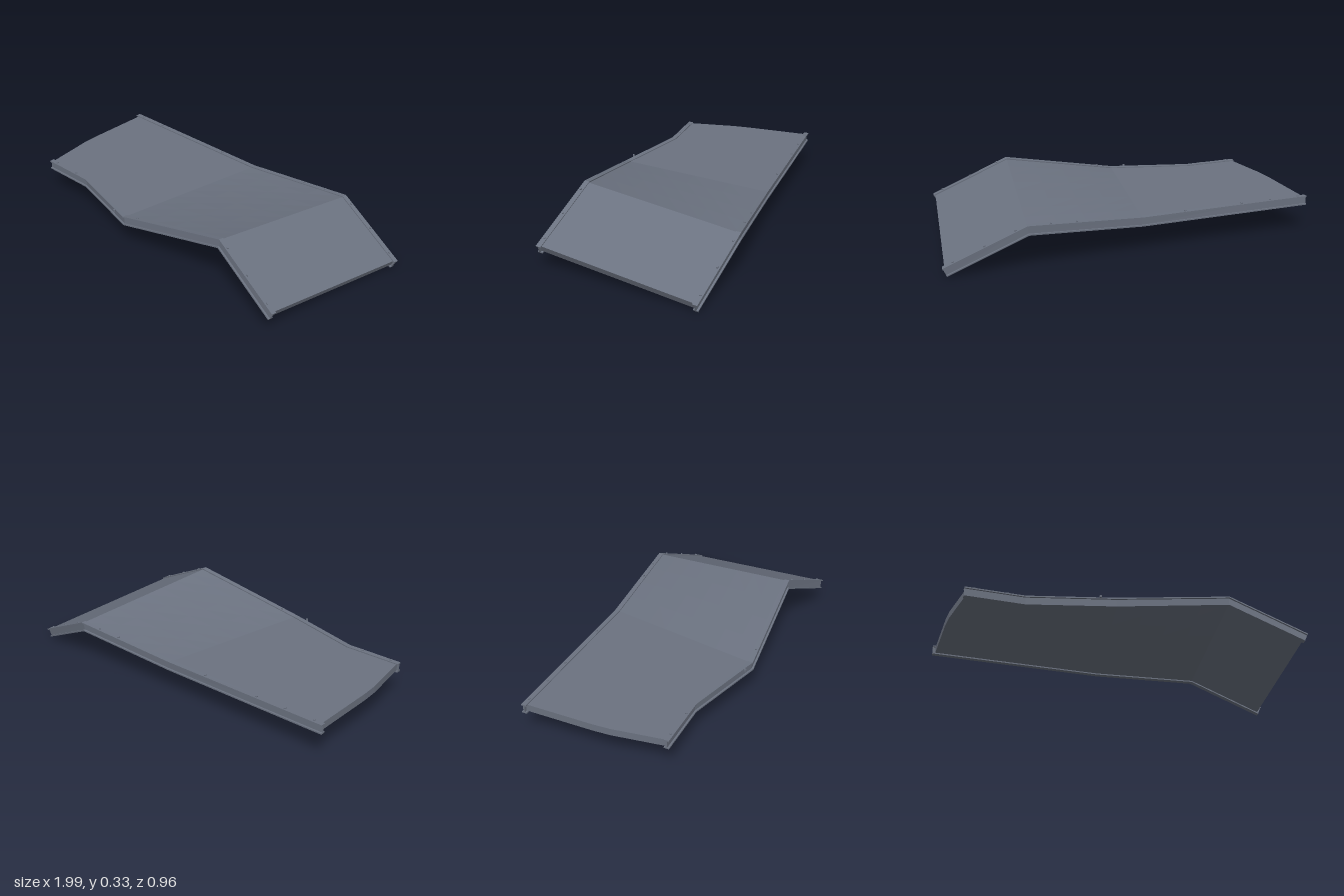
import * as THREE from 'three';

const V = (x, y, z) => new THREE.Vector3(x, y, z);

// Top centre line of each rail, front (+z) and back (-z)
const FRONT = [V(-0.95, 0.197, 0.308), V(-0.64, 0.197, 0.308), V(-0.2, 0.197, 0.428), V(0.45, 0.333, 0.385), V(0.86, 0.138, 0.465)];
const BACK = [V(-1, 0.197, -0.438), V(-0.64, 0.197, -0.438), V(-0.04, 0.197, -0.438), V(0.58, 0.243, -0.47), V(0.988, 0.048, -0.388)];
const HEIGHT = 0.05, WIDTH = 0.027, FLANGE = 0.007, WEB = 0.008;

// Frames along a rail: up follows the deck surface, joints are mitred
function frames(path) {
  const dirs = [], ups = [];
  for (let i = 0; i < path.length - 1; i++) {
    const d = path[i + 1].clone().sub(path[i]).normalize();
    const across = BACK[i].clone().sub(FRONT[i]).add(BACK[i + 1]).sub(FRONT[i + 1]);
    dirs.push(d);
    ups.push(d.clone().cross(across).normalize());
  }
  return path.map((p, i) => {
    const a = Math.max(i - 1, 0), b = Math.min(i, dirs.length - 1);
    const dir = dirs[a].clone().add(dirs[b]).normalize();
    const up = ups[a].clone().add(ups[b]).normalize();
    const side = up.clone().cross(dir).normalize();
    return { p, side, up: up.clone().divideScalar(up.dot(ups[a])), segUp: ups[b] };
  });
}

// I-beam section swept along the frames
function railGeometry(fr) {
  const w = WIDTH / 2, t = WEB / 2, h = -HEIGHT, f = FLANGE;
  const shape = new THREE.Shape([
    [-w, h], [w, h], [w, h + f], [t, h + f], [t, -f], [w, -f],
    [w, 0], [-w, 0], [-w, -f], [-t, -f], [-t, h + f], [-w, h + f],
  ].map(([x, y]) => new THREE.Vector2(x, y)));
  const n = fr.length - 1;
  const geo = new THREE.ExtrudeGeometry(shape, { depth: n, steps: n, bevelEnabled: false });
  const pos = geo.attributes.position;
  for (let i = 0; i < pos.count; i++) {
    const s = fr[Math.round(pos.getZ(i))];
    const q = s.p.clone().addScaledVector(s.side, pos.getX(i)).addScaledVector(s.up, pos.getY(i));
    pos.setXYZ(i, q.x, q.y, q.z);
  }
  geo.computeVertexNormals();
  return geo;
}

// Slab held between the flanges, ruled from the front rail to the back rail
function deckGeometry(ff, bf) {
  const rows = ff.length - 1, sub = 4;
  const geo = new THREE.BoxGeometry(rows, 1, 1, rows * sub, 1, 8);
  const pos = geo.attributes.position;
  const edge = (fr, u, drop) => {
    const i = Math.min(Math.floor(u + 1e-6), rows - 1);
    const at = (s) => s.p.clone().addScaledVector(s.up, -drop);
    return at(fr[i]).lerp(at(fr[i + 1]), u - i);
  };
  for (let i = 0; i < pos.count; i++) {
    const u = pos.getX(i) + rows / 2, v = 0.5 - pos.getZ(i);
    const drop = pos.getY(i) > 0 ? FLANGE - 0.002 : HEIGHT - FLANGE;
    const q = edge(ff, u, drop).lerp(edge(bf, u, drop), v);
    // bent outline of the left end, straight inset at the other end
    if (u < 1) {
      const k = v < 0.42 ? THREE.MathUtils.lerp(-0.94, -0.985, v / 0.42) : -0.985;
      q.x += (1 - u) * (k - THREE.MathUtils.lerp(-0.95, -1, v));
    }
    if (u > rows - 0.01) q.add(V(-0.009, 0.0045, -0.002));
    pos.setXYZ(i, q.x, q.y, q.z);
  }
  geo.computeVertexNormals();
  return geo;
}

export function createModel() {
  const group = new THREE.Group();
  const steel = new THREE.MeshStandardMaterial({ color: 0x6b7280, flatShading: true });
  const add = (geo, name, parent = group) => {
    const m = new THREE.Mesh(geo, steel);
    m.name = name;
    parent.add(m);
    return m;
  };

  const ff = frames(FRONT), bf = frames(BACK);
  add(deckGeometry(ff, bf), 'deck');
  add(railGeometry(ff), 'frontRail');
  add(railGeometry(bf), 'backRail');

  // Bolt heads on top of the rails: segment and position along it
  const bolts = new THREE.Group();
  bolts.name = 'bolts';
  group.add(bolts);
  const boltGeo = new THREE.CylinderGeometry(0.006, 0.006, 0.012, 8);
  const bolt = (p, up) => {
    const m = add(boltGeo, 'bolt', bolts);
    m.position.copy(p);
    m.quaternion.setFromUnitVectors(V(0, 1, 0), up);
  };
  const row = (fr, list) => list.forEach(([i, t]) =>
    bolt(fr[i].p.clone().lerp(fr[i + 1].p, t), fr[i].segUp));
  row(ff, [[0, 0.16], [0, 0.71], [2, 0.14], [3, 0.13], [3, 0.5], [3, 0.87]]);
  row(bf, [[0, 0.14], [0, 0.61], [1, 0.05], [1, 0.6], [2, 0.58], [2, 0.8], [3, 0.13], [3, 0.5], [3, 0.87]]);
  bolt(V(-0.28, 0.197, 0.43), V(0, 1, 0));

  return group;
}
